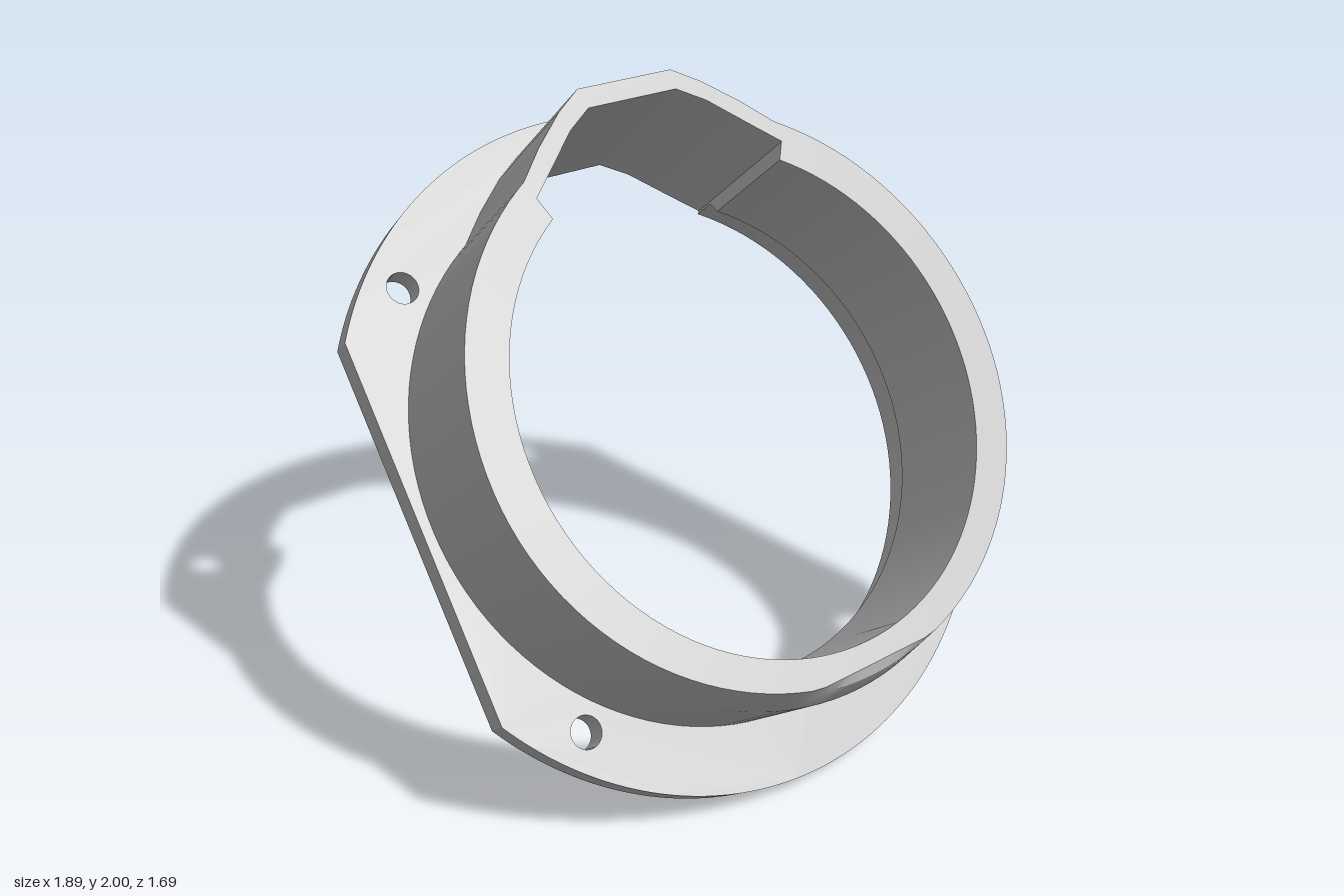
import * as THREE from 'three';
import { toCreasedNormals } from 'three/addons/utils/BufferGeometryUtils.js';

const TILT = 40 * Math.PI / 180;
const BASE_Y = 0.857, BASE_Z = -0.1275;
const FLANGE = 0.08, DEPTH = 0.556;
const OUTER_R = 0.913, INNER_R = 0.785, BORE_R = 0.84;

// Right half of the raised pocket at the top, from its foot to the flat crown
const POCKET_IN = [[0.457, 0.72], [0.37, 0.797], [0.25, 0.905], [0.16, 0.961]];
const POCKET_OUT = [[0.46, 0.789], [0.37, 0.877], [0.26, 0.968], [0.17, 1.025]];

// Circle running clockwise past the bottom, closed at the top by the pocket
function outline(r, pocket) {
  const start = 57.7 * Math.PI / 180, sweep = Math.PI + 2 * start, n = 96;
  const pts = [];
  for (let i = 0; i <= n; i++) {
    const a = start - sweep * i / n;
    pts.push([r * Math.cos(a), r * Math.sin(a)]);
  }
  pocket.forEach(([x, y]) => pts.push([-x, y]));
  [...pocket].reverse().forEach(([x, y]) => pts.push([x, y]));
  return pts;
}

const innerRing = (r, w) => outline(r, POCKET_IN).map(([x, y]) => [x, y, w]);

// Outer wall tapers in at the lower front and is trimmed by an upright plane
function outerRing(w) {
  const t = Math.max(0, (w - 0.42) / (DEPTH - 0.42));
  const limit = (Math.cos(TILT) * w + BASE_Z - 0.845) / Math.sin(TILT);
  return outline(OUTER_R, POCKET_OUT).map(([x, y]) =>
    [x, Math.max(limit, y < 0 ? y * (1 - 0.042 * t) : y), w]);
}

// Skin successive closed rings
function loft(rings) {
  const n = rings[0].length, index = [];
  for (let k = 0; k < rings.length - 1; k++) {
    for (let i = 0; i < n; i++) {
      const j = (i + 1) % n;
      const a = k * n + i, b = k * n + j, c = b + n, d = a + n;
      index.push(a, b, c, a, c, d);
    }
  }
  const g = new THREE.BufferGeometry();
  g.setAttribute('position', new THREE.Float32BufferAttribute(rings.flat(2), 3));
  g.setIndex(index);
  return toCreasedNormals(g.toNonIndexed(), 0.45);
}

// Round plate with two flat sides, a bore with pocket, and four screw holes
function flangeGeometry() {
  const r = 1.118, a = Math.acos(0.945 / r);
  const shape = new THREE.Shape();
  shape.absarc(0, 0, r, a, Math.PI - a, false);
  shape.absarc(0, 0, r, Math.PI + a, 2 * Math.PI - a, false);
  shape.closePath();
  shape.holes.push(new THREE.Path(
    outline(BORE_R, POCKET_IN).map(([x, y]) => new THREE.Vector2(x, y))));
  for (const sx of [-1, 1]) {
    for (const sy of [-1, 1]) {
      const hole = new THREE.Path();
      hole.absarc(sx * 0.71, sy * 0.71, 0.05, 0, Math.PI * 2, true);
      shape.holes.push(hole);
    }
  }
  const g = new THREE.ExtrudeGeometry(shape,
    { depth: FLANGE, bevelEnabled: false, curveSegments: 40 });
  return toCreasedNormals(g, 0.45);
}

export function createModel() {
  const grey = new THREE.MeshStandardMaterial({ color: 0xc0c0c0 });
  grey.name = 'lightGrey';

  const flange = new THREE.Mesh(flangeGeometry(), grey);
  flange.name = 'mountingFlange';

  // Bore with a conical shoulder inside, then the front rim and outer wall
  const collar = new THREE.Mesh(loft([
    innerRing(BORE_R, FLANGE), innerRing(BORE_R, 0.088),
    innerRing(INNER_R, 0.148), innerRing(INNER_R, DEPTH),
    outerRing(DEPTH), outerRing(0.528), outerRing(0.42), outerRing(FLANGE),
  ]), grey);
  collar.name = 'collar';

  const ring = new THREE.Group();
  ring.name = 'tiltedRing';
  ring.add(flange, collar);
  ring.rotation.x = -TILT;
  ring.position.set(0, BASE_Y, BASE_Z);

  const model = new THREE.Group();
  model.name = 'flangedCollar';
  model.add(ring);
  return model;
}
